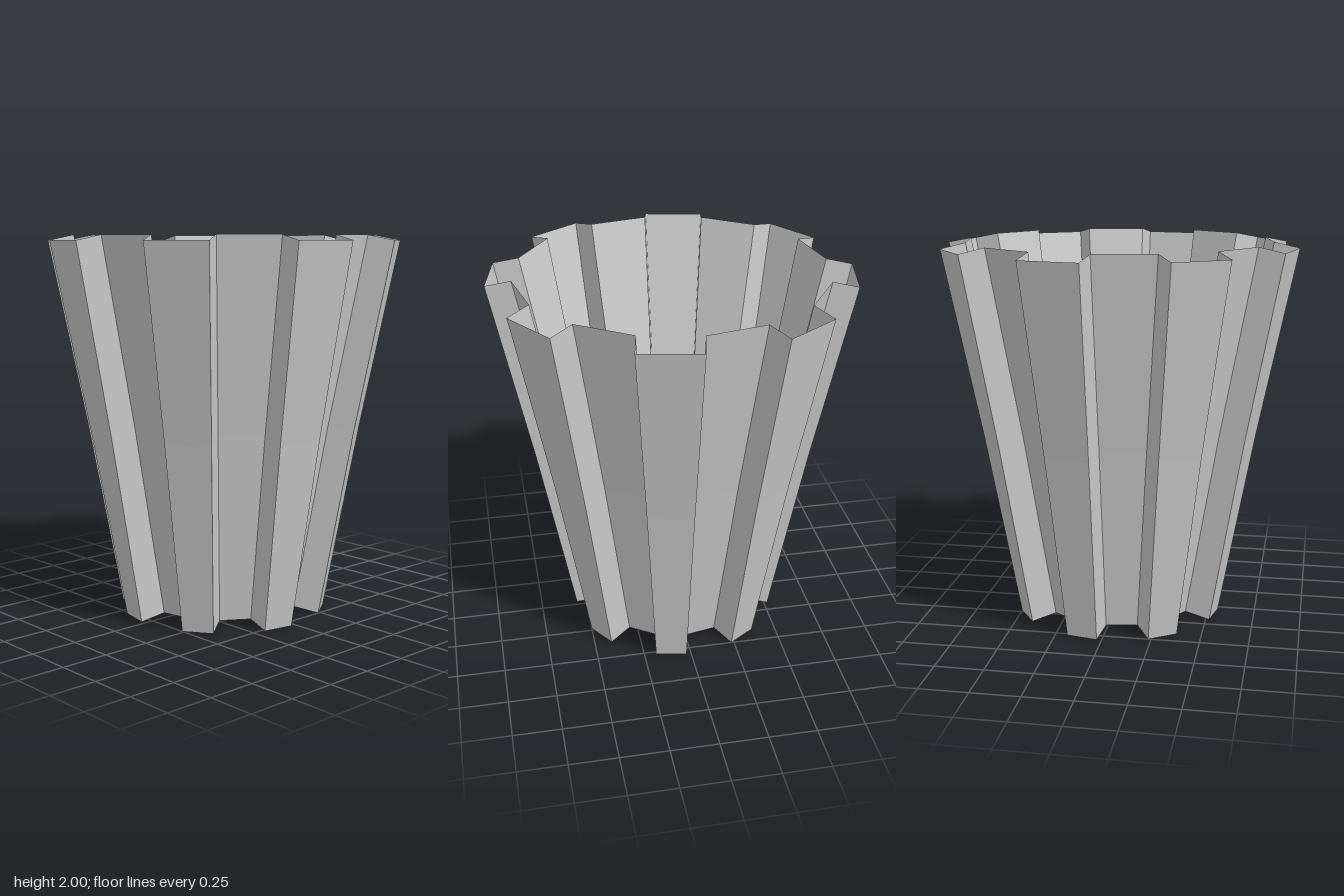
import * as THREE from 'three';

const SIDES = 16;
const STEP = (Math.PI * 2) / SIDES;
// Wall profile from foot to rim: [radius, height]
const PROFILE = [[0.42, 0.027], [0.602, 1.02], [0.8, 2]];
const RIB_OUT = 0.134; // how far a rib stands out from its panel
const RIB_DROP = 0.027; // ribs follow the tilted panel normal, so they sit lower

// Vertical edge of the plain wall at an angle
function wallEdge(angle) {
  return PROFILE.map(([r, y]) => new THREE.Vector3(r * Math.cos(angle), y, r * Math.sin(angle)));
}

// The same edge pushed out along the normal of the panel centred on mid
function ribEdge(angle, mid) {
  const offset = new THREE.Vector3(RIB_OUT * Math.cos(mid), -RIB_DROP, RIB_OUT * Math.sin(mid));
  return wallEdge(angle).map((p) => p.add(offset));
}

// Flat quads between two point rows, as seen from the outside
function addStrip(out, left, right) {
  for (let i = 0; i + 1 < left.length; i++) {
    const [a, b, c, d] = [left[i], right[i], right[i + 1], left[i + 1]];
    [a, b, c, a, c, d].forEach((p) => out.push(p.x, p.y, p.z));
  }
}

export function createModel() {
  const group = new THREE.Group();
  const material = new THREE.MeshStandardMaterial({
    color: 0xcccccc, flatShading: true, side: THREE.DoubleSide,
  });

  const addMesh = (name, geometry) => {
    const mesh = new THREE.Mesh(geometry, material);
    mesh.name = name;
    group.add(mesh);
  };
  const toGeometry = (points) => {
    const geometry = new THREE.BufferGeometry();
    geometry.setAttribute('position', new THREE.Float32BufferAttribute(points, 3));
    geometry.computeVertexNormals();
    return geometry;
  };

  // Alternate hollow ribs and recessed wall panels around the cup
  for (let i = 0; i < SIDES; i++) {
    const start = i * STEP, end = start + STEP, mid = start + STEP / 2;
    const a = wallEdge(start), b = wallEdge(end);
    const points = [];
    if (i % 2 === 0) {
      const ra = ribEdge(start, mid), rb = ribEdge(end, mid);
      addStrip(points, rb, ra); // outer face
      addStrip(points, ra, a); // two flanks
      addStrip(points, b, rb);
      addStrip(points, [ra[0], a[0]], [rb[0], b[0]]); // closed foot
      addMesh('rib', toGeometry(points));
    } else {
      addStrip(points, b, a);
      addMesh('wallPanel', toGeometry(points));
    }
  }

  // Floor disc
  const floor = new THREE.CircleGeometry(PROFILE[0][0], SIDES);
  floor.rotateX(Math.PI / 2).translate(0, PROFILE[0][1], 0);
  addMesh('floor', floor);

  return group;
}
